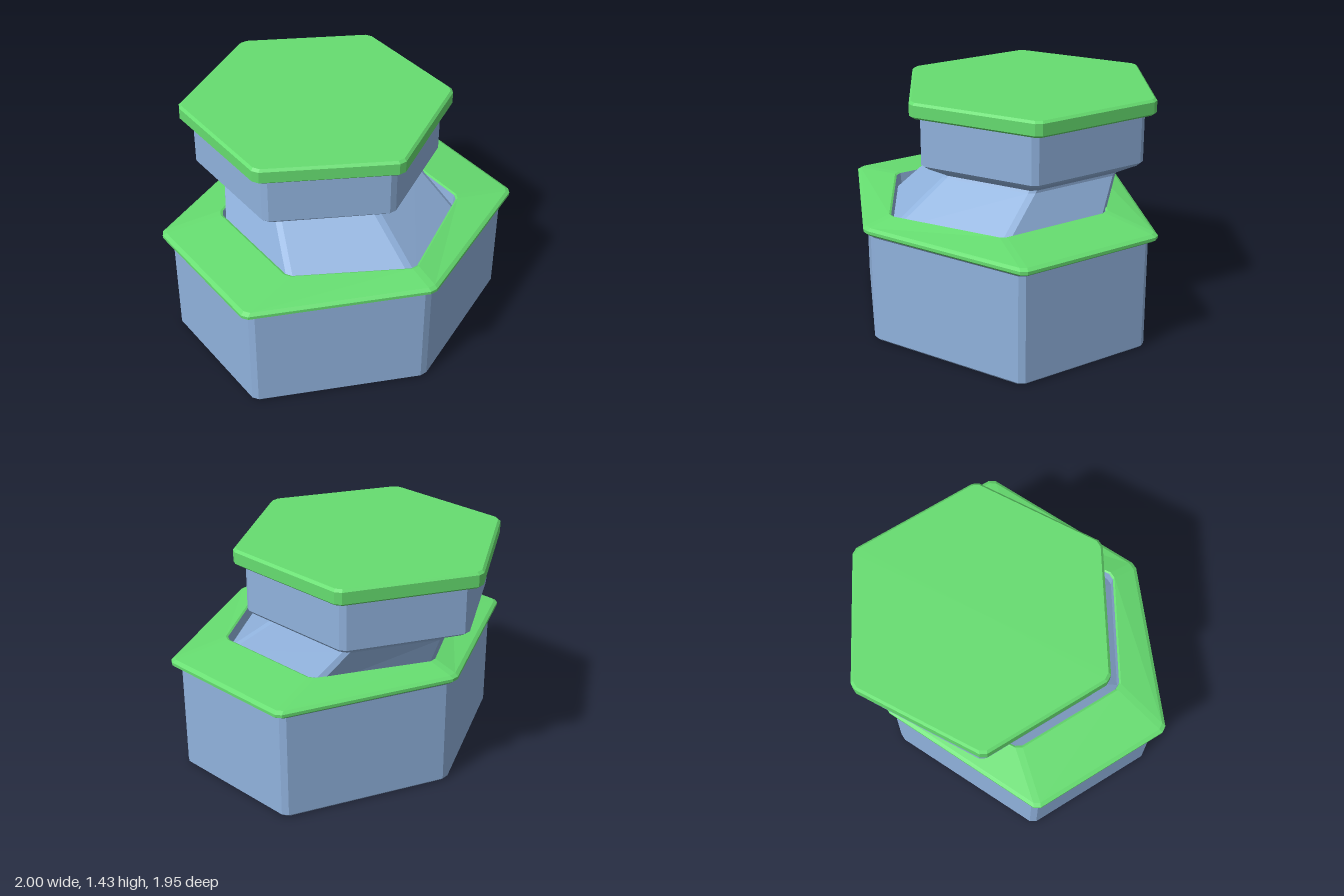
import * as THREE from 'three';

const BLUE = 0x90b2dd, GREEN = 0x66dd70;

// Hexagonal ring with slightly cut corners.
// w: half width, d: half depth at the tips, c: half length of the side faces, z: centre, y: height
function ring([y, w, d, c, z]) {
  const corners = [[0, d + 0.01], [w, c], [w, -c], [0, -d - 0.01], [-w, -c], [-w, c]];
  const cut = 0.025, points = [];
  corners.forEach((p, i) => {
    for (const q of [corners[(i + 5) % 6], corners[(i + 1) % 6]]) {
      const t = cut / Math.hypot(q[0] - p[0], q[1] - p[1]);
      points.push([p[0] + (q[0] - p[0]) * t, y, z + p[1] + (q[1] - p[1]) * t]);
    }
  });
  return points;
}

// Skin the rings in order, optionally closing the bottom and top
function loft(name, color, profile, bottom = false, top = false) {
  const rings = profile.map(ring), n = 12, pos = [];
  const tri = (...p) => p.forEach((v) => pos.push(...v));
  for (let r = 0; r < rings.length - 1; r++) {
    for (let i = 0; i < n; i++) {
      const j = (i + 1) % n, a = rings[r], b = rings[r + 1];
      tri(a[i], a[j], b[j]);
      tri(a[i], b[j], b[i]);
    }
  }
  const cap = (loop, middle, up) => {
    for (let i = 0; i < n; i++) {
      const j = (i + 1) % n;
      if (up) tri(middle, loop[i], loop[j]);
      else tri(middle, loop[j], loop[i]);
    }
  };
  const first = profile[0], last = profile[profile.length - 1];
  if (bottom) cap(rings[0], [0, first[0], first[4]], false);
  if (top) cap(rings[rings.length - 1], [0, last[0], last[4]], true);
  const geometry = new THREE.BufferGeometry();
  geometry.setAttribute('position', new THREE.Float32BufferAttribute(pos, 3));
  geometry.computeVertexNormals();
  const material = new THREE.MeshStandardMaterial({ color, flatShading: true, side: THREE.DoubleSide });
  const mesh = new THREE.Mesh(geometry, material);
  mesh.name = name;
  return mesh;
}

export function createModel() {
  const model = new THREE.Group();
  model.name = 'hexagonalPedestal';

  // Wide base block with a small flare under its rim
  model.add(loft('base', BLUE, [
    [0, 0.93, 0.845, 0.43, 0.073],
    [0.012, 0.942, 0.857, 0.435, 0.073],
    [0.665, 0.942, 0.857, 0.435, 0.073],
    [0.685, 0.962, 0.872, 0.445, 0.073],
  ], true));

  // Sloping rim around the top of the base
  model.add(loft('baseRim', GREEN, [
    [0.68, 0.955, 0.868, 0.44, 0.073],
    [0.684, 0.975, 0.883, 0.45, 0.073],
    [0.7, 0.998, 0.902, 0.46, 0.073],
    [0.718, 0.998, 0.902, 0.46, 0.073],
    [0.732, 0.975, 0.88, 0.45, 0.073],
    [0.772, 0.645, 0.735, 0.365, 0.073],
    [0.766, 0.632, 0.722, 0.36, 0.073],
  ]));

  // Recess inside the rim, with its floor
  model.add(loft('recess', BLUE, [
    [0.766, 0.632, 0.722, 0.36, 0.073],
    [0.69, 0.625, 0.715, 0.357, 0.073],
  ], false, true));

  // Neck leaning backwards, flaring out into the head
  model.add(loft('neckAndHead', BLUE, [
    [0.69, 0.622, 0.71, 0.355, 0.082],
    [0.935, 0.515, 0.583, 0.302, -0.14],
    [0.95, 0.515, 0.583, 0.302, -0.15],
    [1.015, 0.628, 0.715, 0.372, -0.155],
    [1.035, 0.646, 0.743, 0.385, -0.157],
    [1.32, 0.646, 0.743, 0.385, -0.157],
    [1.34, 0.66, 0.758, 0.392, -0.157],
  ]));

  // Flat lid overhanging the head
  model.add(loft('lid', GREEN, [
    [1.335, 0.7, 0.802, 0.405, -0.16],
    [1.348, 0.715, 0.818, 0.413, -0.16],
    [1.418, 0.715, 0.818, 0.413, -0.16],
    [1.432, 0.7, 0.802, 0.405, -0.16],
  ], true, true));

  return model;
}
